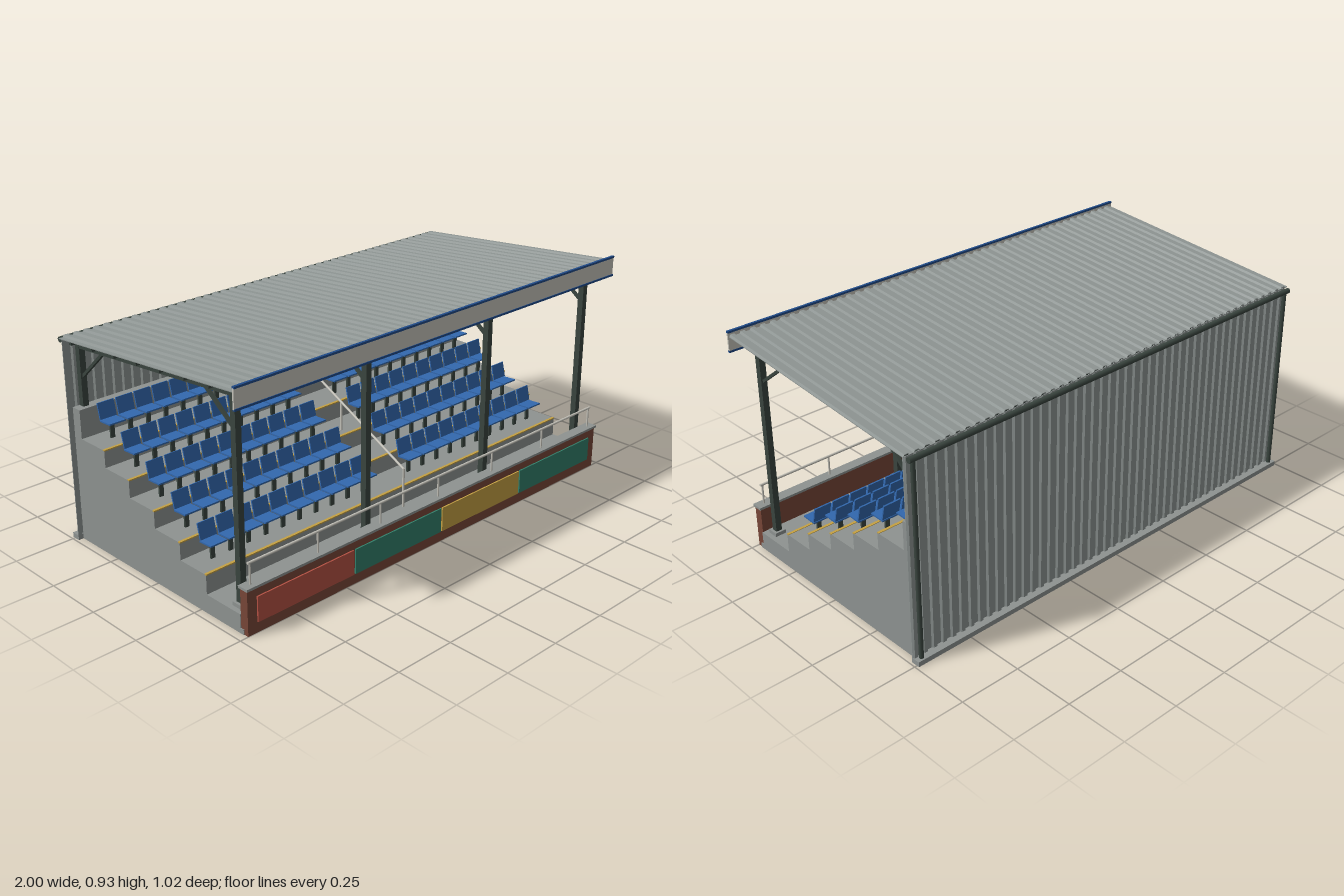
import * as THREE from 'three';

const paint = (name, color) => {
  const m = new THREE.MeshStandardMaterial({ color });
  m.name = name;
  return m;
};

export function createModel() {
  const concrete = paint('concrete', 0x8e9391);
  const sheet = paint('sheet metal', 0x8e9593);
  const steel = paint('dark green steel', 0x3a453f);
  const brick = paint('brick', 0x774637);
  const seatBlue = paint('seat blue', 0x3268ae);
  const trimBlue = paint('trim blue', 0x1f4a88);
  const pale = paint('pale metal', 0xc6c4bb);
  const yellow = paint('yellow', 0xc5a143);
  const red = paint('red', 0xb55143);
  const green = paint('green', 0x32806b);

  const model = new THREE.Group();
  model.name = 'grandstand';

  const add = (name, geometry, material, parent = model) => {
    const mesh = new THREE.Mesh(geometry, material);
    mesh.name = name;
    parent.add(mesh);
    return mesh;
  };
  // Box given by its limits on each axis
  const block = (name, material, [x0, x1], [y0, y1], [z0, z1], parent) => {
    const mesh = add(name, new THREE.BoxGeometry(x1 - x0, y1 - y0, z1 - z0), material, parent);
    mesh.position.set((x0 + x1) / 2, (y0 + y1) / 2, (z0 + z1) / 2);
    return mesh;
  };
  // Rectangular bar in a plane of constant x, between two [z, y] points
  const bar = (name, material, x, [z0, y0], [z1, y1], width, thick, parent) => {
    const dz = z1 - z0, dy = y1 - y0;
    const mesh = add(name, new THREE.BoxGeometry(width, thick, Math.hypot(dz, dy)), material, parent);
    mesh.position.set(x, (y0 + y1) / 2, (z0 + z1) / 2);
    mesh.rotation.x = -Math.atan2(dy, dz);
    return mesh;
  };
  // Round tube between two points
  const pipe = (name, material, a, b, r, parent) => {
    const path = new THREE.LineCurve3(new THREE.Vector3(...a), new THREE.Vector3(...b));
    const dir = path.v2.clone().sub(path.v1);
    const mesh = add(name, new THREE.CylinderGeometry(r, r, dir.length(), 12), material, parent);
    mesh.position.copy(path.getPoint(0.5));
    mesh.quaternion.setFromUnitVectors(new THREE.Vector3(0, 1, 0), dir.normalize());
    return mesh;
  };
  // Trapezoidal ribbed sheet, ribs along z, raised towards +y
  const ribbed = (halfWidth, length, ribs) => {
    const pitch = (2 * halfWidth) / ribs, rise = 0.008, thick = 0.003;
    const line = [];
    for (let i = 0; i < ribs; i++) {
      const x = -halfWidth + i * pitch;
      line.push([x, 0], [x + pitch * 0.4, 0], [x + pitch * 0.52, rise], [x + pitch * 0.88, rise]);
    }
    line.push([halfWidth, 0]);
    const outline = [...line, ...line.slice().reverse().map(([x, y]) => [x, y + thick])];
    const shape = new THREE.Shape(outline.map(([x, y]) => new THREE.Vector2(x, y)));
    return new THREE.ExtrudeGeometry(shape, { depth: length, bevelEnabled: false });
  };

  // Stepped terrace, as [z, y] profile extruded across the width
  const edges = [0.285, 0.143, 0, -0.143, -0.287];
  const treads = [0.153, 0.223, 0.293, 0.364, 0.434];
  const profile = [[-0.474, 0], [0.48, 0], [0.48, 0.02], [0.464, 0.02], [0.464, 0.075]];
  let level = 0.075;
  edges.forEach((z, i) => {
    profile.push([z, level], [z, treads[i]]);
    level = treads[i];
  });
  profile.push([-0.43, level], [-0.43, 0.55], [-0.474, 0.55]);
  const terrace = new THREE.ExtrudeGeometry(
    new THREE.Shape(profile.map(([z, y]) => new THREE.Vector2(z, y))),
    { depth: 1.936, bevelEnabled: false });
  terrace.rotateY(-Math.PI / 2).translate(0.968, 0, 0);
  add('terrace', terrace, concrete);
  edges.forEach((z, i) =>
    block('stepNosing', yellow, [-0.968, 0.968], [treads[i] - 0.003, treads[i] + 0.002], [z - 0.009, z + 0.002]));

  // Seats: two blocks of ten on each of the five rows
  const panGeo = new THREE.BoxGeometry(0.073, 0.006, 0.064);
  const backGeo = new THREE.BoxGeometry(0.073, 0.064, 0.006);
  const postGeo = new THREE.BoxGeometry(0.018, 0.068, 0.008);
  const seats = new THREE.Group();
  seats.name = 'seats';
  model.add(seats);
  edges.forEach((z, row) => {
    for (const side of [-1, 1]) for (let i = 0; i < 10; i++) {
      const seat = new THREE.Group();
      seat.name = 'seat';
      seat.position.set(side * (0.128 + 0.083 * i), treads[row], z - 0.078);
      const pan = add('seatPan', panGeo, seatBlue, seat);
      pan.position.set(0, 0.071, 0.009);
      pan.rotation.x = -0.05;
      const back = add('seatBack', backGeo, seatBlue, seat);
      back.position.set(0, 0.106, -0.027);
      back.rotation.x = -0.23;
      add('seatPost', postGeo, steel, seat).position.set(0, 0.034, 0);
      seats.add(seat);
    }
  });

  // Aisle handrail
  const handrail = new THREE.Group();
  handrail.name = 'aisleHandrail';
  model.add(handrail);
  pipe('handrailTop', pale, [0, 0.238, 0.302], [0, 0.593, -0.395], 0.005, handrail);
  [[0.302, 0.075, 0.24], [-0.045, 0.293, 0.415], [-0.395, 0.434, 0.595]].forEach(([z, y0, y1]) =>
    pipe('handrailPost', pale, [0, y0, z], [0, y1, z], 0.005, handrail));

  // Front wall with coping, coloured panels and rail
  block('frontWall', brick, [-0.965, 0.965], [0, 0.177], [0.464, 0.5]);
  block('coping', concrete, [-0.97, 0.97], [0.177, 0.187], [0.459, 0.506]);
  [red, green, yellow, green].forEach((colour, i) => {
    const x = (i - 1.5) * 0.4635;
    block('wallPanel', colour, [x - 0.228, x + 0.228], [0.043, 0.143], [0.5, 0.506]);
  });
  pipe('frontRail', pale, [-0.945, 0.27, 0.483], [0.945, 0.27, 0.483], 0.005);
  for (let i = -3; i <= 3; i++)
    pipe('frontRailPost', pale, [i * 0.312, 0.187, 0.483], [i * 0.312, 0.27, 0.483], 0.004);

  // Roof frames: columns, rafter and braces
  const roofY = z => 0.905 + (z - 0.5) * 0.0833;
  for (const x of [-0.925, -0.328, 0.328, 0.925]) {
    const frame = new THREE.Group();
    frame.name = 'roofFrame';
    model.add(frame);
    block('columnBase', concrete, [x - 0.023, x + 0.023], [0.075, 0.09], [0.4, 0.446], frame);
    block('frontColumn', steel, [x - 0.0125, x + 0.0125], [0.09, 0.885], [0.41, 0.435], frame);
    block('rearColumn', steel, [x - 0.0125, x + 0.0125], [0.55, 0.815], [-0.473, -0.449], frame);
    bar('rafter', steel, x, [-0.473, roofY(-0.473) - 0.025], [0.497, roofY(0.497) - 0.025], 0.024, 0.04, frame);
    bar('frontBrace', steel, x, [0.412, 0.738], [0.265, 0.85], 0.012, 0.011, frame);
    bar('rearBrace', steel, x, [-0.455, 0.666], [-0.305, 0.802], 0.012, 0.011, frame);
  }
  for (let i = 0; i < 8; i++) {
    const z = 0.473 - 0.1323 * i, y = roofY(z) - 0.013;
    block('purlin', steel, [-0.97, 0.97], [y - 0.012, y + 0.012], [z - 0.0065, z + 0.0065]);
  }

  // Ribbed roof and rear wall
  const slope = Math.atan(0.0833);
  const roof = add('roofSheet', ribbed(0.995, 0.99, 46), sheet);
  roof.position.set(0, roofY(-0.485), -0.485);
  roof.rotation.x = -slope;
  const wall = add('rearWall', ribbed(0.99, 0.81, 46).rotateX(-Math.PI / 2), sheet);
  wall.position.set(0, 0.015, -0.474);
  block('rearPlinth', concrete, [-0.99, 0.99], [0, 0.02], [-0.511, -0.474]);

  // Fascia along the front edge
  block('fascia', pale, [-1, 1], [0.85, 0.924], [0.502, 0.509]);
  block('fasciaTopTrim', trimBlue, [-1, 1], [0.922, 0.93], [0.501, 0.512]);
  block('fasciaBottomTrim', trimBlue, [-1, 1], [0.845, 0.853], [0.501, 0.512]);

  // Gutter and downpipes
  pipe('gutter', steel, [-0.985, 0.815, -0.498], [0.985, 0.815, -0.498], 0.011);
  for (const x of [-0.965, 0.965])
    pipe('downpipe', steel, [x, 0.005, -0.495], [x, 0.815, -0.495], 0.009);

  return model;
}
